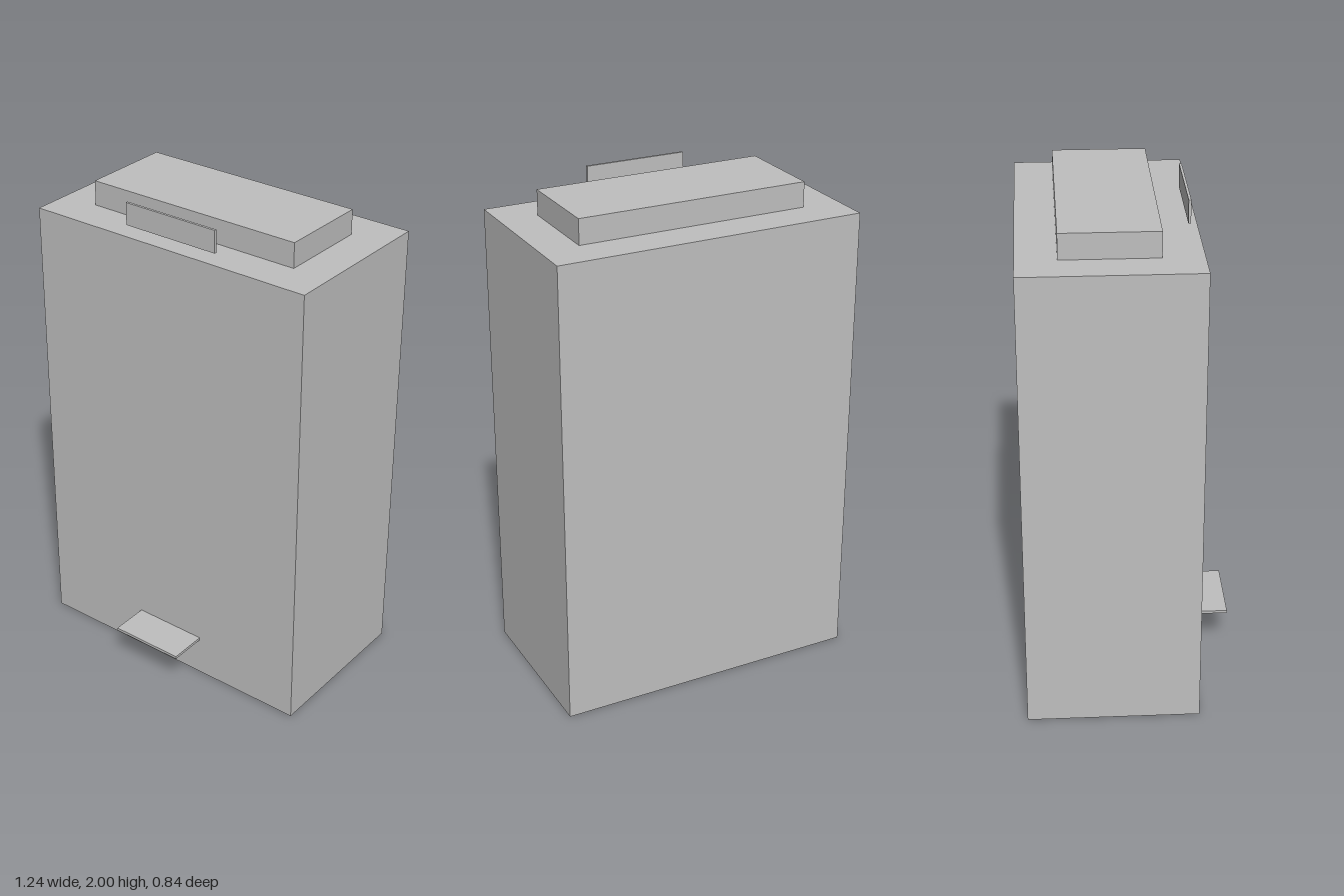
import * as THREE from 'three';

export function createModel() {
  const model = new THREE.Group();
  const grey = new THREE.MeshStandardMaterial({ color: 0xbfbfbf, side: THREE.DoubleSide });
  grey.name = 'grey';

  // Box given by its lower and upper corners
  function addBox(name, [x0, y0, z0], [x1, y1, z1], openBottom = false) {
    const geometry = new THREE.BoxGeometry(x1 - x0, y1 - y0, z1 - z0);
    if (openBottom) {
      // The bottom face holds indices 18 to 23
      const index = Array.from(geometry.index.array);
      index.splice(18, 6);
      geometry.setIndex(index);
      geometry.clearGroups();
    }
    const mesh = new THREE.Mesh(geometry, grey);
    mesh.name = name;
    mesh.position.set((x0 + x1) / 2, (y0 + y1) / 2, (z0 + z1) / 2);
    model.add(mesh);
  }

  // Hollow housing, open underneath
  addBox('housing', [-0.618, 0, -0.418], [0.618, 1.88, 0.262], true);
  // Raised block on the roof
  addBox('roofBlock', [-0.465, 1.88, -0.264], [0.465, 1.98, 0.108]);
  // Upright sign plate hovering over the front edge
  addBox('signPlate', [-0.206, 1.91, 0.222], [0.206, 2, 0.232]);
  // Thin ledge low on the front
  addBox('frontLedge', [-0.155, 0.163, 0.262], [0.155, 0.175, 0.418]);

  return model;
}
